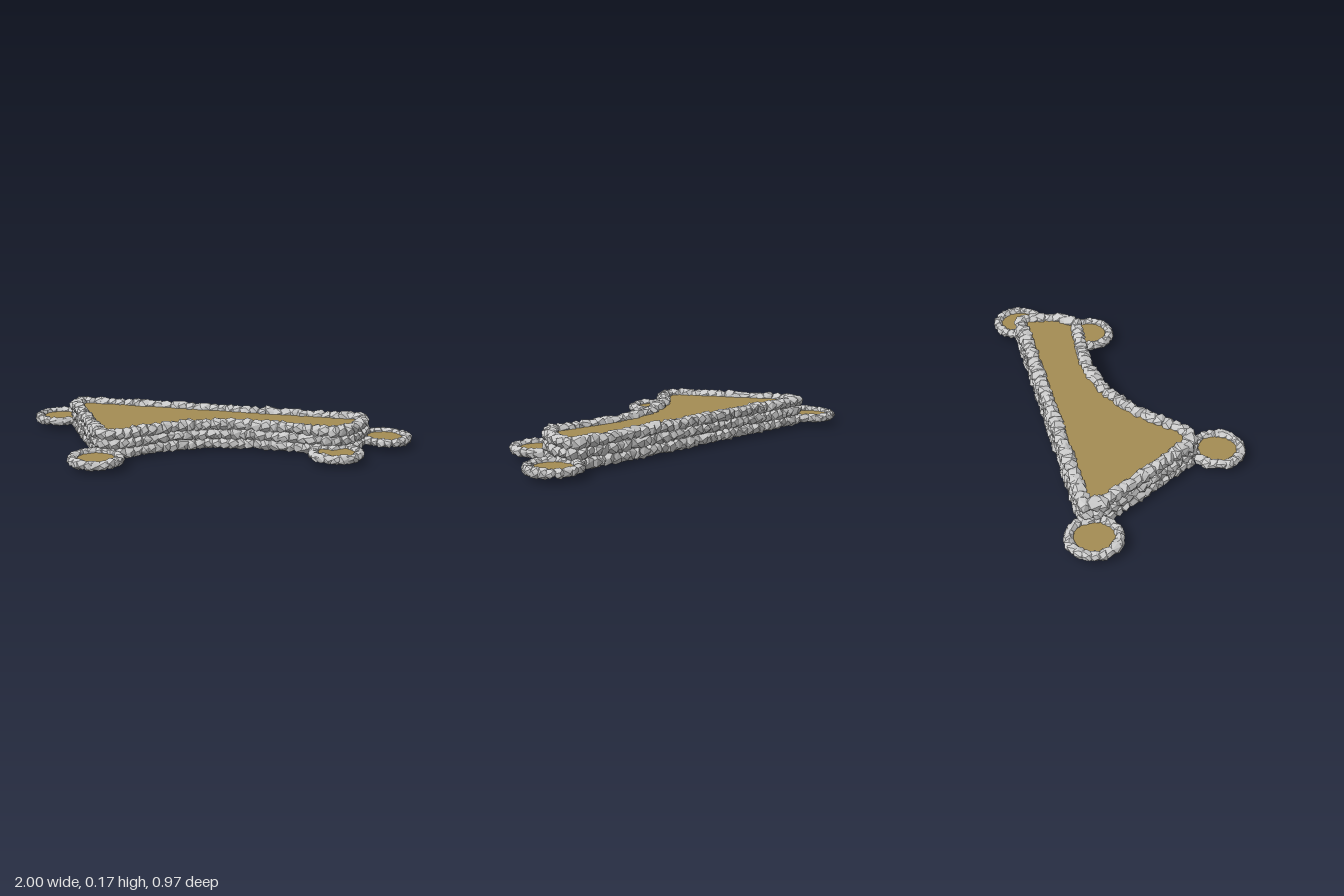
import * as THREE from 'three';
import { mergeGeometries } from 'three/addons/utils/BufferGeometryUtils.js';
import { ConvexGeometry } from 'three/addons/geometries/ConvexGeometry.js';

const stoneMaterial = new THREE.MeshStandardMaterial({ color: 0xcccccc, flatShading: true });
const soilMaterial = new THREE.MeshStandardMaterial({ color: 0xa58d54, side: THREE.DoubleSide });

// Small seeded generator, so that the stones are always the same
let seed = 7;
function random() {
  seed = (seed * 16807) % 2147483647;
  return seed / 2147483647;
}
const vary = (amount) => 1 + (random() * 2 - 1) * amount;

// One angular stone: the hull of uneven points spread over an ellipsoid
function makeStone(length, height, width) {
  const points = [];
  const count = 15;
  const turn = random() * Math.PI * 2;
  for (let i = 0; i < count; i++) {
    const y = 1 - (2 * (i + 0.5)) / count;
    const r = Math.sqrt(1 - y * y);
    const a = i * 2.4 + turn + random() * 0.5;
    const s = vary(0.1);
    points.push(new THREE.Vector3(
      THREE.MathUtils.clamp(Math.cos(a) * r * s * 1.15, -1, 1) * length,
      THREE.MathUtils.clamp(y * s * 1.15, -1, 1) * height,
      THREE.MathUtils.clamp(Math.sin(a) * r * s * 1.15, -1, 1) * width
    ));
  }
  return new ConvexGeometry(points);
}

// A closed course of stones laid along a curve
function stoneCourse(name, curve, y, spacing, length, height, width) {
  const count = Math.round(curve.getLength() / spacing);
  const shift = random();
  const stones = [];
  for (let i = 0; i < count; i++) {
    const t = ((i + shift + (random() - 0.5) * 0.3) / count + 1) % 1;
    const p = curve.getPointAt(t);
    const dir = curve.getTangentAt(t);
    const stone = makeStone(length * vary(0.15), height * vary(0.1), width * vary(0.12));
    stone.rotateZ((random() - 0.5) * 0.25);
    stone.rotateY(-Math.atan2(dir.z, dir.x) + (random() - 0.5) * 0.4);
    stone.translate(p.x, y + (random() - 0.5) * 0.004, p.z);
    stones.push(stone);
  }
  const mesh = new THREE.Mesh(mergeGeometries(stones), stoneMaterial);
  mesh.name = name;
  return mesh;
}

// Flat soil filling the inside of a curve
function soilSheet(name, curve, y) {
  const outline = curve.getSpacedPoints(120).map((p) => new THREE.Vector2(p.x, p.z));
  const geometry = new THREE.ShapeGeometry(new THREE.Shape(outline));
  geometry.rotateX(Math.PI / 2);
  geometry.translate(0, y, 0);
  const mesh = new THREE.Mesh(geometry, soilMaterial);
  mesh.name = name;
  return mesh;
}

// Outline of the raised bed: straight back and left, curved front and right
function bedOutline() {
  const v = ([x, z]) => new THREE.Vector3(x, 0, z);
  const front = [[0.64, -0.085], [0.45, -0.105], [0.25, -0.115], [0.05, -0.08],
    [-0.12, 0], [-0.25, 0.1], [-0.35, 0.2], [-0.41, 0.225]].map(v);
  const right = [[0.755, -0.365], [0.75, -0.28], [0.71, -0.15], [0.64, -0.085]].map(v);
  const left = [[-0.41, 0.225], [-0.46, 0.2], [-0.58, 0], [-0.75, -0.29], [-0.74, -0.365]].map(v);
  const path = new THREE.CurvePath();
  path.add(new THREE.LineCurve3(left[4], right[0]));
  path.add(new THREE.CatmullRomCurve3(right));
  path.add(new THREE.CatmullRomCurve3(front));
  for (let i = 0; i < 4; i++) path.add(new THREE.LineCurve3(left[i], left[i + 1]));
  return path;
}

function ringOutline(x, z, radius) {
  const points = [];
  for (let i = 0; i < 16; i++) {
    const a = (i / 16) * Math.PI * 2;
    points.push(new THREE.Vector3(x + Math.cos(a) * radius, 0, z + Math.sin(a) * radius));
  }
  return new THREE.CatmullRomCurve3(points, true);
}

export function createModel() {
  seed = 7;
  const model = new THREE.Group();
  model.name = 'stoneGardenBed';

  // Raised bed: three stacked courses and the soil near their top
  const bed = new THREE.Group();
  bed.name = 'raisedBed';
  const outline = bedOutline();
  [0.034, 0.082, 0.129].forEach((y, i) => {
    bed.add(stoneCourse(`wallCourse${i + 1}`, outline, y, 0.042, 0.036, 0.029, 0.035));
  });
  bed.add(soilSheet('bedSoil', outline, 0.13));
  model.add(bed);

  // Low round beds at the corners
  const rings = [
    ['backRightRing', -0.862, -0.352],
    ['backLeftRing', 0.862, -0.355],
    ['frontRightRing', -0.43, 0.35],
    ['frontLeftRing', 0.663, -0.015],
  ];
  for (const [name, x, z] of rings) {
    const ring = new THREE.Group();
    ring.name = name;
    const circle = ringOutline(x, z, 0.112);
    ring.add(stoneCourse('ringStones', circle, 0.042, 0.034, 0.031, 0.023, 0.025));
    ring.add(soilSheet('ringSoil', circle, 0.045));
    model.add(ring);
  }
  return model;
}
